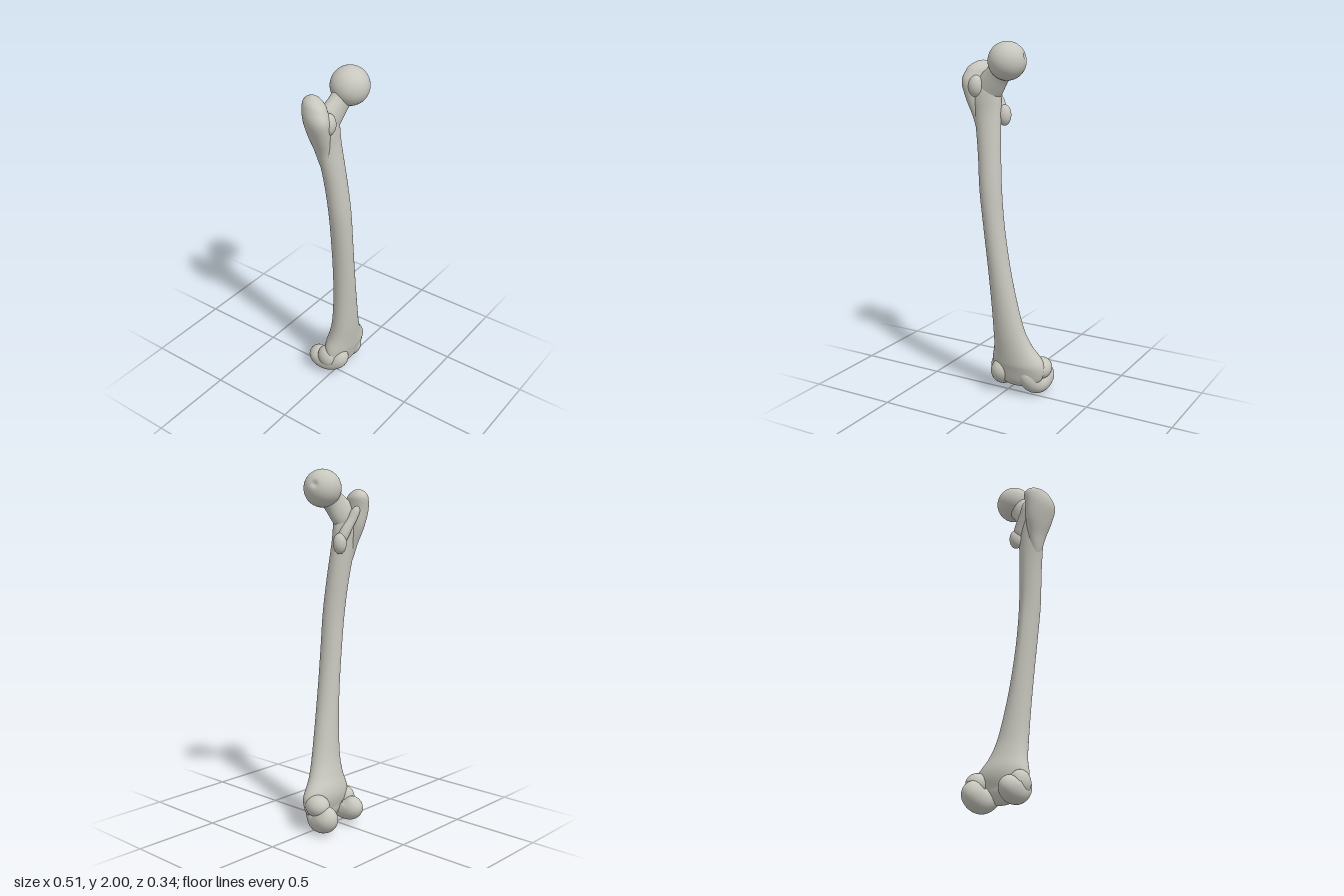
import * as THREE from 'three';

const X = new THREE.Vector3(1, 0, 0);
const Z = new THREE.Vector3(0, 0, 1);

// Closed loft through rings [x, y, z, radiusAlongU, radiusAlongV] with domed ends.
// shape(angle, centre) scales the radius for ridges and grooves.
function loft(rings, { u = X, steps = 40, sides = 40, round = 0.25, shape = () => 1 } = {}) {
  const path = new THREE.CatmullRomCurve3(rings.map(r => new THREE.Vector3(r[0], r[1], r[2])), false, 'catmullrom');
  const radii = new THREE.CatmullRomCurve3(rings.map(r => new THREE.Vector3(r[3], r[4], 0)), false, 'catmullrom');
  const positions = [], index = [];
  for (let i = 0; i <= steps; i++) {
    const t = (1 - Math.cos(Math.PI * i / steps)) / 2;
    const centre = path.getPoint(t), r = radii.getPoint(t);
    const v = path.getTangent(t).cross(u).normalize();
    const edge = Math.min(1, Math.min(t, 1 - t) / round);
    const dome = Math.sqrt(Math.max(0, 1 - (1 - edge) ** 2));
    for (let j = 0; j < sides; j++) {
      const a = j / sides * Math.PI * 2;
      const k = dome * shape(a, centre);
      const p = centre.clone()
        .addScaledVector(u, Math.cos(a) * r.x * k)
        .addScaledVector(v, Math.sin(a) * r.y * k);
      positions.push(p.x, p.y, p.z);
      if (i < steps) {
        const n = (j + 1) % sides, row = i * sides, next = row + sides;
        index.push(row + j, row + n, next + j, row + n, next + n, next + j);
      }
    }
  }
  const geometry = new THREE.BufferGeometry();
  geometry.setAttribute('position', new THREE.Float32BufferAttribute(positions, 3));
  geometry.setIndex(index);
  geometry.computeVertexNormals();
  return geometry;
}

function ellipsoid(x, y, z, rx, ry, rz) {
  return new THREE.SphereGeometry(1, 32, 24).scale(rx, ry, rz).translate(x, y, z);
}

// Ball of the joint with a small pit on its inner side
function ballHead() {
  const radius = 0.103;
  const geometry = new THREE.SphereGeometry(radius, 64, 48);
  const pit = new THREE.Vector3(0.93, 0.25, -0.27).normalize();
  const pos = geometry.attributes.position, p = new THREE.Vector3();
  for (let i = 0; i < pos.count; i++) {
    p.fromBufferAttribute(pos, i);
    const angle = p.angleTo(pit);
    p.setLength(radius - 0.013 * Math.exp(-((angle / 0.16) ** 2)));
    pos.setXYZ(i, p.x, p.y, p.z);
  }
  geometry.computeVertexNormals();
  return geometry.translate(0.03, 1.897, 0.067);
}

export function createModel() {
  const group = new THREE.Group();
  const bone = new THREE.MeshStandardMaterial({ color: 0xc8c7be });
  bone.name = 'bone';
  const add = (name, geometry) => {
    const mesh = new THREE.Mesh(geometry, bone);
    mesh.name = name;
    group.add(mesh);
  };

  // Bowed shaft, flaring at both ends, with a ridge along the back
  add('shaft', loft([
    [-0.12, 1.83, 0.03, 0.07, 0.045],
    [-0.125, 1.70, 0.03, 0.092, 0.058],
    [-0.108, 1.60, 0.037, 0.078, 0.057],
    [-0.085, 1.40, 0.060, 0.065, 0.060],
    [-0.068, 1.20, 0.077, 0.062, 0.061],
    [-0.048, 1.00, 0.078, 0.058, 0.062],
    [-0.024, 0.80, 0.073, 0.061, 0.062],
    [0.002, 0.60, 0.064, 0.072, 0.063],
    [0.029, 0.40, 0.048, 0.092, 0.068],
    [0.049, 0.29, 0.030, 0.118, 0.075],
    [0.070, 0.20, 0.012, 0.160, 0.082],
    [0.070, 0.12, 0.010, 0.155, 0.065],
    [0.065, 0.045, 0.000, 0.110, 0.050],
  ], {
    steps: 110, sides: 56, round: 0.07,
    shape: (a, c) => {
      const back = Math.exp(-(((a - Math.PI * 1.5) / 0.3) ** 2));
      const middle = Math.exp(-(((c.y - 1.0) / 0.4) ** 2));
      return 1 + 0.05 * back * middle;
    },
  }));

  // Upper end: ball, neck and the bony bumps around it
  add('head', ballHead());
  add('neck', loft([
    [-0.16, 1.67, 0.020, 0.052, 0.080],
    [-0.09, 1.76, 0.032, 0.053, 0.080],
    [-0.03, 1.83, 0.048, 0.050, 0.068],
    [0.02, 1.885, 0.064, 0.062, 0.076],
  ], { u: Z, round: 0.15 }));
  add('greaterTrochanter', loft([
    [-0.140, 1.46, 0.035, 0.030, 0.025],
    [-0.150, 1.58, 0.028, 0.050, 0.036],
    [-0.170, 1.69, 0.018, 0.082, 0.053],
    [-0.185, 1.78, 0.014, 0.094, 0.063],
    [-0.176, 1.84, -0.003, 0.084, 0.056],
    [-0.165, 1.89, -0.015, 0.064, 0.045],
  ], { u: new THREE.Vector3(0.45, 0, -0.89).normalize(), round: 0.2 }));
  add('frontTubercle', ellipsoid(-0.162, 1.755, 0.07, 0.045, 0.06, 0.042));
  add('trochanterCrest', loft([
    [-0.13, 1.80, -0.045, 0.030, 0.025],
    [-0.10, 1.73, -0.030, 0.028, 0.024],
    [-0.06, 1.66, -0.015, 0.030, 0.028],
    [-0.03, 1.59, 0.000, 0.030, 0.030],
  ], { u: Z }));
  add('lesserTrochanter', ellipsoid(-0.028, 1.6, -0.006, 0.037, 0.058, 0.038));

  // Lower end: two rollers curling from front to back, with side bumps
  add('innerCondyle', loft([
    [0.125, 0.20, 0.015, 0.050, 0.050],
    [0.140, 0.125, 0.018, 0.062, 0.060],
    [0.165, 0.076, -0.030, 0.070, 0.070],
    [0.178, 0.095, -0.092, 0.064, 0.074],
    [0.178, 0.165, -0.115, 0.055, 0.060],
  ]));
  add('innerEpicondyle', ellipsoid(0.19, 0.16, -0.04, 0.063, 0.062, 0.075));
  add('outerCondyle', loft([
    [-0.020, 0.21, 0.045, 0.050, 0.048],
    [-0.028, 0.135, 0.040, 0.058, 0.060],
    [-0.038, 0.095, -0.020, 0.062, 0.066],
    [-0.042, 0.105, -0.085, 0.060, 0.072],
    [-0.042, 0.165, -0.108, 0.052, 0.056],
  ]));
  add('outerEpicondyle', ellipsoid(-0.058, 0.14, -0.015, 0.054, 0.07, 0.065));

  return group;
}
